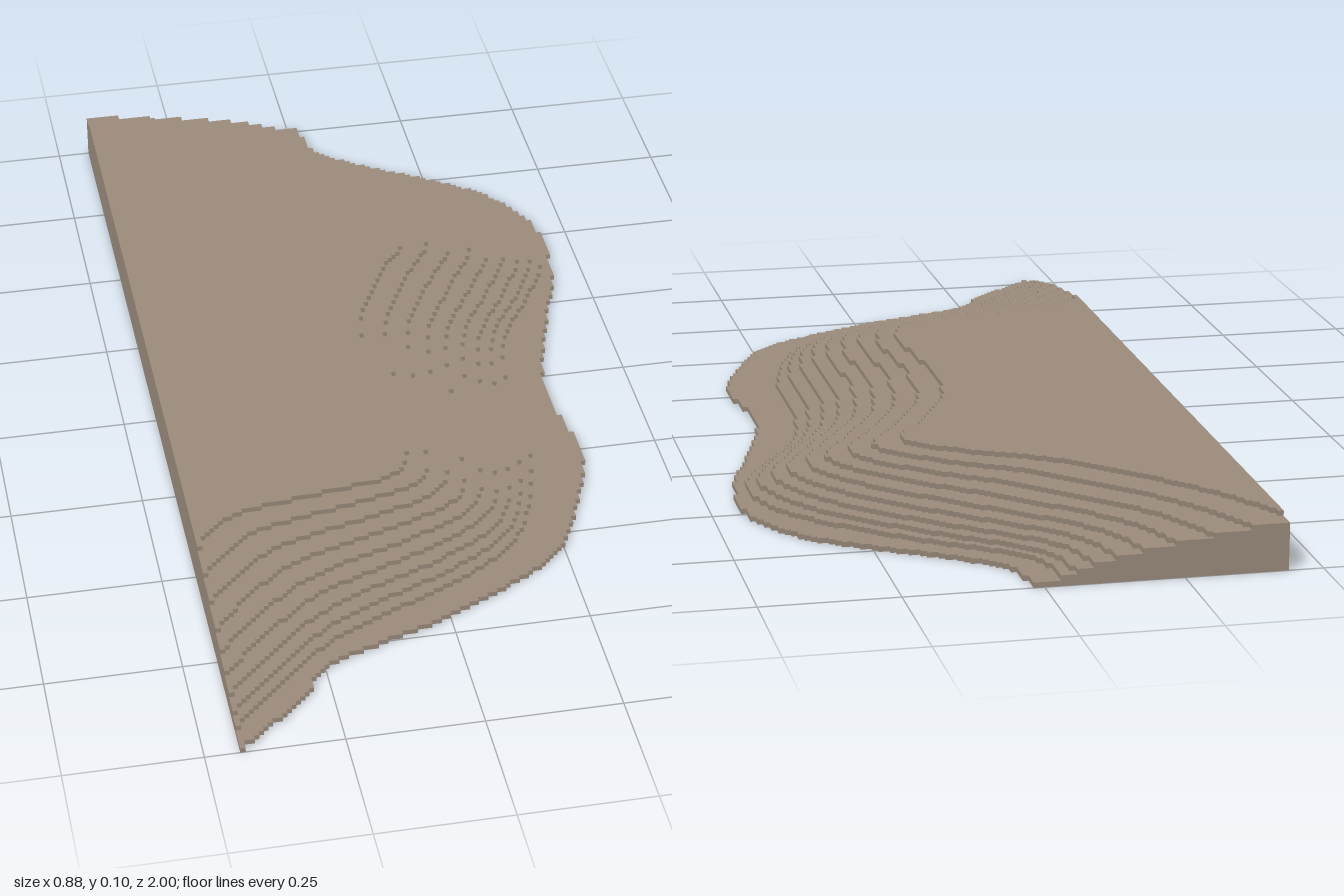
import * as THREE from 'three';

const ROWS = 206, CELL = 2 / ROWS, LEFT = -45 * CELL, LAYERS = 10;

// Contours as x, z pairs from back to front
const shore = [
  0.02, -1, 0.04, -0.9, 0.12, -0.83, 0.34, -0.68, 0.435, -0.53, 0.435, -0.35, 0.39, -0.2,
  0.335, 0, 0.335, 0.15, 0.35, 0.28, 0.27, 0.5, 0.2, 0.59, 0, 0.705, -0.24, 0.8,
  -0.3, 0.88, -0.44, 1];
const low = [
  -0.03, -1, 0, -0.88, 0.19, -0.73, 0.365, -0.56, 0.42, -0.4, 0.37, -0.27, 0.28, -0.11,
  0.25, 0.1, 0.25, 0.26, 0.18, 0.49, 0.05, 0.61, -0.23, 0.75, -0.44, 0.95];
const middle = [
  -0.18, -1, -0.12, -0.86, 0.07, -0.68, 0.21, -0.55, 0.305, -0.4, 0.245, -0.26, 0.165, -0.11,
  0.13, 0.1, 0.135, 0.3, 0.1, 0.45, -0.04, 0.53, -0.26, 0.62, -0.44, 0.79];
const high = [
  -0.455, -1, -0.34, -0.81, -0.15, -0.6, 0.03, -0.49, 0.13, -0.4, 0.06, -0.28, -0.01, -0.11,
  -0.015, 0.1, 0, 0.28, -0.04, 0.38, -0.17, 0.41, -0.36, 0.45, -0.44, 0.53];

// Terraces above the shore follow a quadratic blend of three matching contours
function contour(layer) {
  if (layer === 0) return shore;
  const t = (layer - 1) / (LAYERS - 2);
  const a = (1 - t) * (1 - 2 * t), b = 4 * t * (1 - t), c = t * (2 * t - 1);
  return low.map((v, i) => a * v + b * middle[i] + c * high[i]);
}

// Width in cells of each row of a terrace
function rowWidths(path) {
  const points = [];
  for (let i = 0; i < path.length; i += 2) points.push(new THREE.Vector2(path[i], path[i + 1]));
  const line = new THREE.SplineCurve(points).getPoints(300);
  const widths = [];
  for (let r = 0; r < ROWS; r++) {
    const z = -1 + (r + 0.5) * CELL;
    const i = line.findIndex((p) => p.y >= z);
    if (i < 0) break;
    const b = line[i], a = line[Math.max(i - 1, 0)];
    const t = b.y > a.y ? (z - a.y) / (b.y - a.y) : 0;
    widths.push(Math.max(0, Math.round((a.x + (b.x - a.x) * t - LEFT) / CELL)));
  }
  widths[widths.length - 1] ||= 1;
  return widths;
}

// Stair-stepped slab, one cell thick
function terraceGeometry(widths) {
  const first = widths.findIndex((w) => w > 0);
  let last = first;
  while (last < widths.length && widths[last] > 0) last++;
  const zAt = (r) => -1 + r * CELL;
  const shape = new THREE.Shape();
  shape.moveTo(LEFT, -zAt(first));
  for (let r = first; r < last; r++) {
    const x = LEFT + widths[r] * CELL;
    if (r === first || widths[r] !== widths[r - 1]) shape.lineTo(x, -zAt(r));
    if (r === last - 1 || widths[r] !== widths[r + 1]) shape.lineTo(x, -zAt(r + 1));
  }
  shape.lineTo(LEFT, -zAt(last));
  shape.closePath();
  const geometry = new THREE.ExtrudeGeometry(shape, { depth: CELL, bevelEnabled: false });
  return geometry.rotateX(-Math.PI / 2);
}

export function createModel() {
  const group = new THREE.Group();
  group.name = 'terracedHill';
  const earth = new THREE.MeshStandardMaterial({ color: 0x9b8b7b });
  earth.name = 'earth';
  for (let layer = 0; layer < LAYERS; layer++) {
    const terrace = new THREE.Mesh(terraceGeometry(rowWidths(contour(layer))), earth);
    terrace.name = `terrace${layer + 1}`;
    terrace.position.y = layer * CELL;
    group.add(terrace);
  }
  return group;
}
